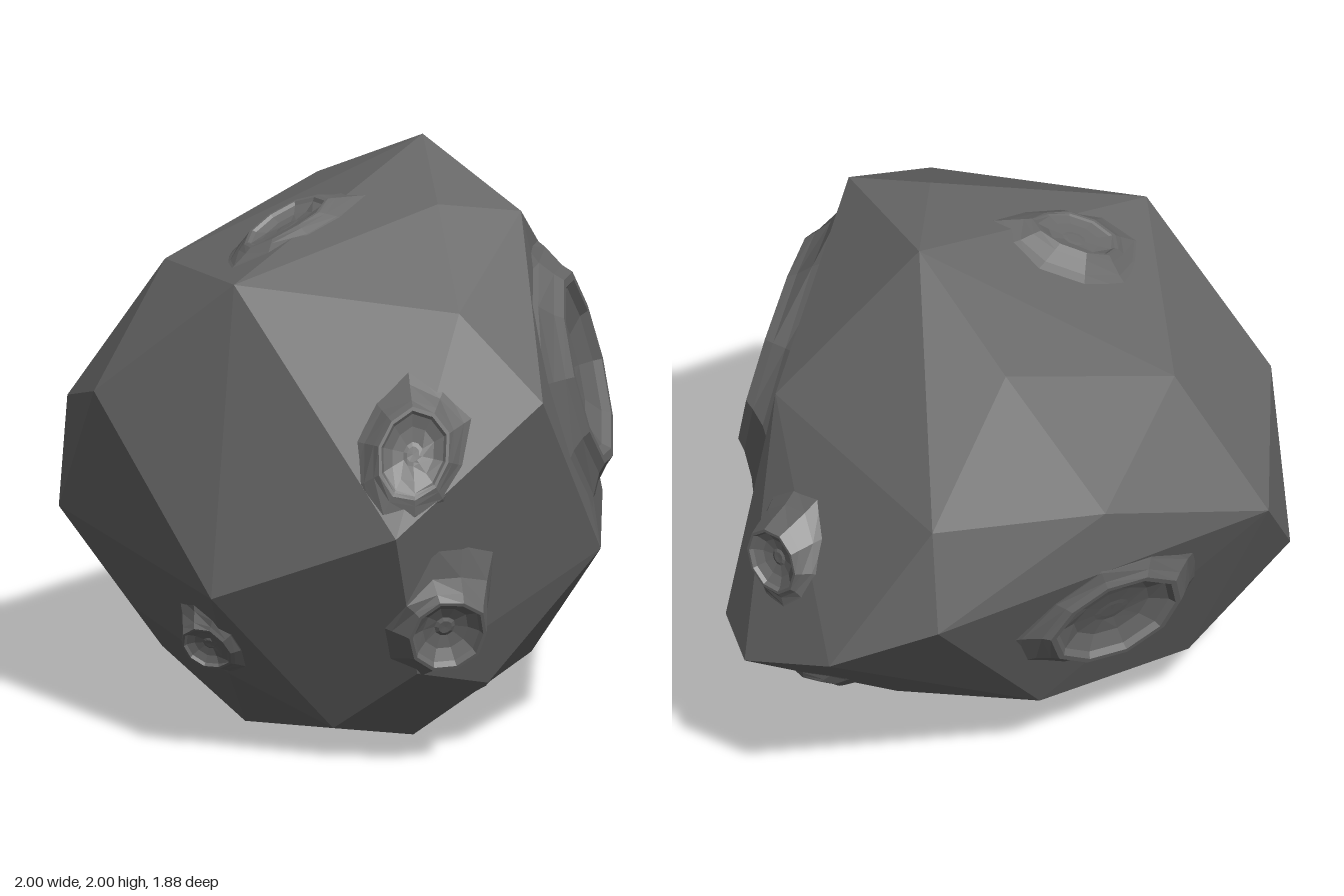
import * as THREE from 'three';
import { ConvexGeometry } from 'three/addons/geometries/ConvexGeometry.js';

const rock = new THREE.MeshStandardMaterial({ color: 0x6a6a6a, flatShading: true, side: THREE.DoubleSide });
const V = (a) => new THREE.Vector3(...a);

// Corners of the faceted boulder
const CORNERS = [
  [0.25, 2.0, -0.14], [-0.04, 1.9, 0.325], [0.18, 1.88, 0.51], [-0.79, 1.7, 0.15],
  [-0.257, 1.635, 0.73], [0.18, 1.765, -0.645], [-0.47, 1.56, -0.66], [-1, 1.24, -0.37],
  [0.71, 1.43, 0.05], [0.58, 1.37, -0.86], [-0.06, 1.28, -0.925], [-0.05, 1.325, 0.935],
  [0.6, 1.0, -0.94], [-0.71, 1.06, -0.9], [-0.635, 0.92, 0.866], [0.887, 0.795, -0.68],
  [0.38, 0.68, 0.7], [-0.9, 0.74, -0.7], [-0.95, 0.62, 0.23], [0.946, 0.63, -0.03],
  [1.0, 0.6, -0.27], [-0.78, 0.42, -0.44], [-0.4, 0.36, 0.68], [-0.76, 0.29, 0.08],
  [0, 0.275, -0.555], [-0.62, 0.24, -0.48], [-0.015, 0.24, 0.577], [0.4, 0.215, 0.28],
  [0.36, 0.2, -0.18], [-0.52, 0.115, 0.36], [-0.52, 0.03, -0.14], [-0.1, 0, 0.265],
];

// Craters: rim centre, rim radii, bowl depth; optional turn, facing (default: away from the core),
// skirt width factor and extra skirt length upward
const CRATERS = [
  { name: 'largeFrontCrater', at: [0.45, 1.28, 0.54], rx: 0.28, ry: 0.36, depth: 0.08, turn: 0.58, facing: [0.7, 0.2, 0.68], skirt: 0.65 },
  { name: 'upperFrontCrater', at: [-0.53, 1.2, 0.83], rx: 0.12, ry: 0.155, depth: 0.03, turn: -0.25, facing: [-0.5, 0.25, 0.83] },
  { name: 'lowerFrontCrater', at: [-0.37, 0.52, 0.82], rx: 0.13, ry: 0.14, depth: 0.06, facing: [-0.37, -0.36, 0.86], skirt: 0.8, tail: 0.1 },
  { name: 'topCrater', at: [-0.4, 1.81, -0.07], rx: 0.11, ry: 0.16, depth: 0.03, skirt: 1.2 },
  { name: 'leftCrater', at: [0.92, 1.02, -0.315], rx: 0.11, ry: 0.12, depth: 0.04 },
  { name: 'undersideCrater', at: [0.225, 0.115, 0.165], rx: 0.075, ry: 0.075, depth: 0.03 },
  { name: 'lowerLeftCrater', at: [0.67, 0.385, -0.17], rx: 0.1, ry: 0.08, depth: 0.03 },
  { name: 'lowerRightCrater', at: [-0.87, 0.4, 0.1], rx: 0.09, ry: 0.09, depth: 0.03, facing: [-0.76, -0.48, 0.42] },
  { name: 'backCrater', at: [-0.15, 0.75, -0.845], rx: 0.24, ry: 0.22, depth: 0.06, facing: [0, -0.35, -0.93], skirt: 0.8 },
];

// Rings from skirt over rim to floor: radius factor, depth factor, share of the rim plane over the ground
const PROFILE = [
  [1.85, 0.25, 0], [1.48, 0.15, 0.3], [1.2, 0.1, 0.75], [1.06, 0, 1], [0.97, 0, 1],
  [0.9, 0.35, 1], [0.62, 0.8, 1], [0.28, 1, 1], [0.18, 0.9, 1], [0.001, 0.92, 1],
];
const SIDES = 10;

function seeded(seed) {
  let s = seed;
  return () => ((s = (s * 16807) % 2147483647) / 2147483647);
}

function makeCrater(body, spec, index) {
  const { rx, ry, depth, turn = 0, skirt = 1, tail = 0 } = spec;
  const rand = seeded(911 + index * 373);
  const ray = new THREE.Raycaster();
  const at = V(spec.at);
  const normal = spec.facing ? V(spec.facing) : at.clone().sub(new THREE.Vector3(0, 1, 0));
  normal.normalize();
  const across = new THREE.Vector3(0, 1, 0).cross(normal).normalize();
  across.applyAxisAngle(normal, turn);
  const up = normal.clone().cross(across);

  const wobble = Array.from({ length: SIDES }, () => rand() - 0.5);
  const pos = [], idx = [];
  PROFILE.forEach(([r, d, plane], j) => {
    const loose = j === 0 ? 0.22 : j === 1 ? 0.16 : 0.06;
    const radius = r > 1.1 ? 1.06 + (r - 1.06) * skirt : r;
    for (let i = 0; i < SIDES; i++) {
      const a = (i / SIDES) * Math.PI * 2;
      const rr = radius * (1 + wobble[i] * loose);
      const stretch = j === 0 ? tail * Math.max(0, Math.sin(a)) : 0;
      const p = at.clone()
        .addScaledVector(across, Math.cos(a) * rr * rx)
        .addScaledVector(up, Math.sin(a) * rr * ry + stretch);

      // Ground height below this point, limited where the skirt hangs over an edge
      ray.set(p.clone().addScaledVector(normal, 1), normal.clone().negate());
      const hit = ray.intersectObject(body)[0];
      const ground = hit ? Math.max(1 - hit.distance, -0.3) : -0.3;

      // The skirt follows the ground, the rim and bowl stay level above it
      const level = Math.max(-d * depth, ground + 0.025 - 0.012 * d);
      const draped = ground - d * 0.05;
      p.addScaledVector(normal, THREE.MathUtils.lerp(draped, level, plane));
      pos.push(p.x, p.y, p.z);
      if (j > 0) {
        const n = (i + 1) % SIDES;
        const o = (j - 1) * SIDES, q = j * SIDES;
        idx.push(o + i, o + n, q + i, o + n, q + n, q + i);
      }
    }
  });
  const geo = new THREE.BufferGeometry();
  geo.setAttribute('position', new THREE.Float32BufferAttribute(pos, 3));
  geo.setIndex(idx);
  const flat = geo.toNonIndexed();
  flat.computeVertexNormals();
  const mesh = new THREE.Mesh(flat, rock);
  mesh.name = spec.name;
  return mesh;
}

export function createModel() {
  const group = new THREE.Group();
  group.name = 'asteroid';
  const body = new THREE.Mesh(new ConvexGeometry(CORNERS.map(V)), rock);
  body.name = 'boulder';
  body.updateMatrixWorld(true);
  group.add(body);
  CRATERS.forEach((spec, i) => group.add(makeCrater(body, spec, i)));
  return group;
}
